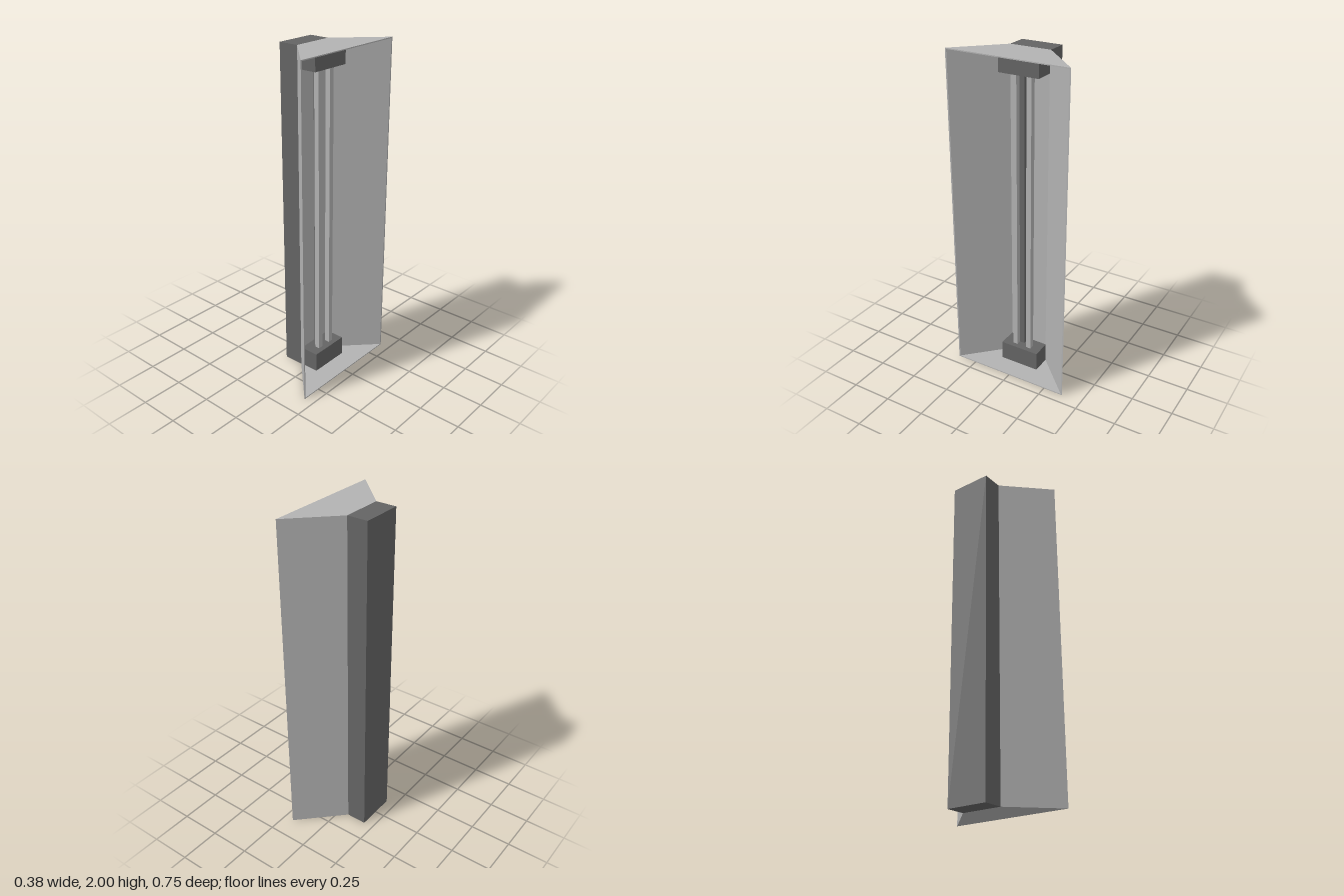
import * as THREE from 'three';

export function createModel() {
  const model = new THREE.Group();
  const light = new THREE.MeshStandardMaterial({ color: 0xb2b2b2 });
  light.name = 'light grey';
  const dark = new THREE.MeshStandardMaterial({ color: 0x646464 });
  dark.name = 'dark grey';

  function add(name, geometry, material) {
    const mesh = new THREE.Mesh(geometry, material);
    mesh.name = name;
    model.add(mesh);
  }

  // box given by its lower and upper corners
  function box(name, [x0, y0, z0], [x1, y1, z1], material) {
    const g = new THREE.BoxGeometry(x1 - x0, y1 - y0, z1 - z0);
    g.translate((x0 + x1) / 2, (y0 + y1) / 2, (z0 + z1) / 2);
    add(name, g, material);
  }

  // outline in the floor plane, mirrored in z, extruded upwards
  function prism(name, outline, y, height, material) {
    const shape = new THREE.Shape(outline.map(([x, z]) => new THREE.Vector2(x, z)));
    const g = new THREE.ExtrudeGeometry(shape, { depth: height, bevelEnabled: false });
    g.rotateX(-Math.PI / 2);
    g.translate(0, y, 0);
    add(name, g, material);
  }

  const back = -0.0625, front = 0.1875, t = 0.006, s = t * Math.SQRT2;

  // mounting spine
  box('spine', [-0.1875, 0, -0.125], [back, 2, 0.125], dark);

  // thin flared reflector channel
  const inner = back + t;
  prism('reflector', [
    [back, -0.125], [front, -0.375], [front, -0.375 + s], [inner, -0.125 - t + s],
    [inner, 0.125 + t - s], [front, 0.375 - s], [front, 0.375], [back, 0.125],
  ], 0, 2, light);

  // end caps and lamp sockets
  const cap = [[back, -0.125], [front, -0.375], [front, 0.375], [back, 0.125]];
  for (const [label, capY, socketY] of [['bottom', 0, 0], ['top', 2 - t, 1.875]]) {
    prism(label + 'Cap', cap, capY, t, light);
    const lift = label === 'bottom' ? t : 0;
    box(label + 'Socket', [back, socketY + lift, -0.125],
      [0.0625, socketY + 0.125 - (t - lift), 0.125], dark);
  }

  // pair of square lamp tubes
  for (const [name, z] of [['leftTube', 0.0313], ['rightTube', -0.0625]]) {
    box(name, [0, 0.12, z], [0.0313, 1.88, z + 0.0313], light);
  }

  // rods behind the tubes
  box('darkRod', [-0.0313, 0.12, 0], [0, 1.88, 0.0313], dark);
  box('rearTube', [back, 0.12, -0.0313], [-0.0313, 1.88, 0], light);

  return model;
}
